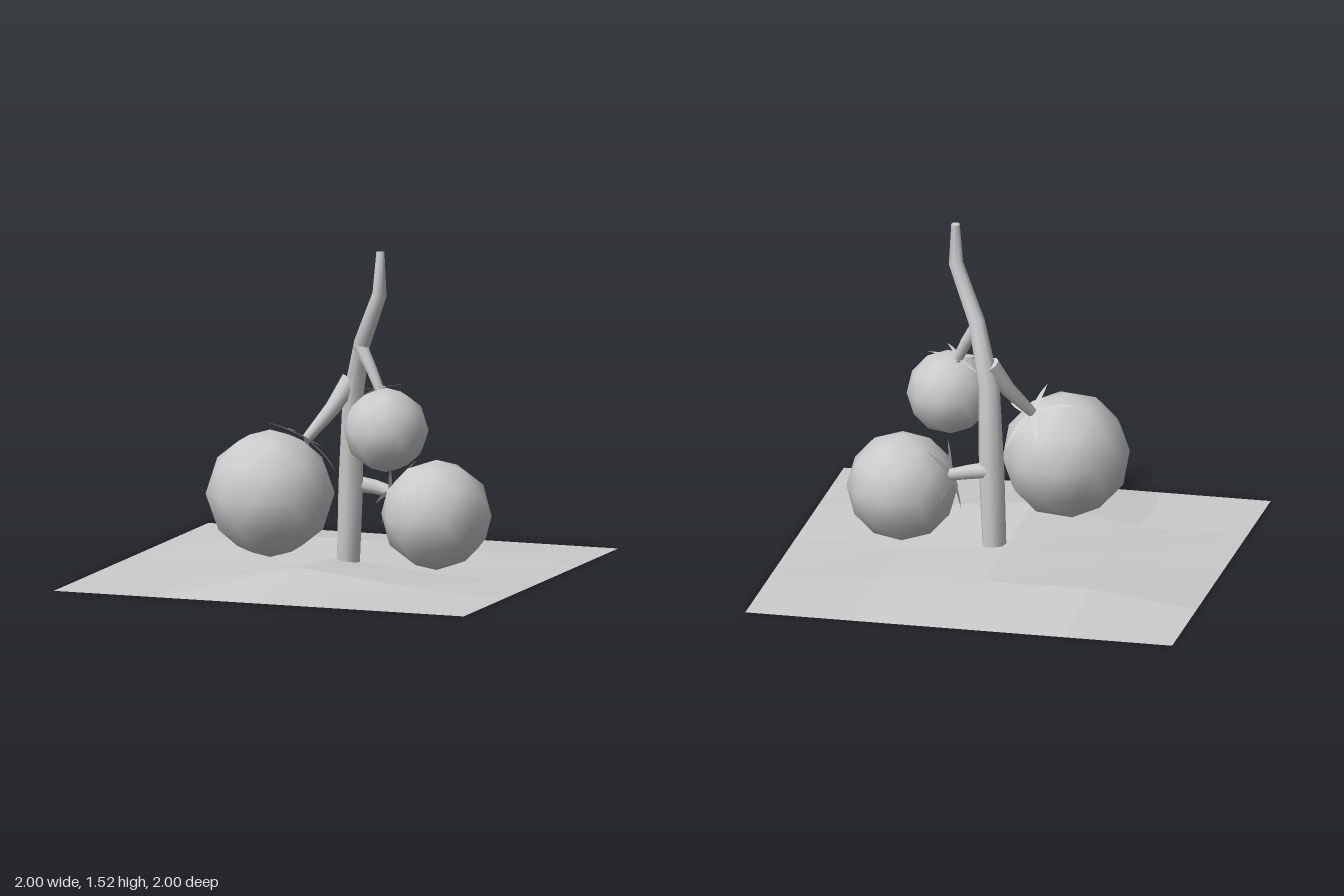
import * as THREE from 'three';

const V = (x, y, z) => new THREE.Vector3(x, y, z);
const grey = new THREE.MeshStandardMaterial({ color: 0xcccccc });
const greyThin = new THREE.MeshStandardMaterial({ color: 0xcccccc, side: THREE.DoubleSide });
const greyFlat = new THREE.MeshStandardMaterial({ color: 0xcccccc, side: THREE.DoubleSide, flatShading: true });

function named(name, geometry, material) {
  const mesh = new THREE.Mesh(geometry, material);
  mesh.name = name;
  return mesh;
}

// Skin a list of equally long rows of points.
function skin(rows, closed) {
  const n = rows[0].length, index = [];
  for (let i = 0; i < rows.length - 1; i++) {
    for (let j = 0; j < (closed ? n : n - 1); j++) {
      const k = (j + 1) % n;
      const a = i * n + j, b = i * n + k, c = a + n, d = b + n;
      index.push(a, c, b, b, c, d);
    }
  }
  const g = new THREE.BufferGeometry().setFromPoints(rows.flat());
  g.setIndex(index);
  g.computeVertexNormals();
  return g;
}

// Tapered, capped limb through knots [x, y, z, radius].
function limb(knots, sides = 8) {
  const pts = knots.map(k => V(k[0], k[1], k[2]));
  const last = pts.length - 1;
  const ring = (i, r) => {
    const t = pts[Math.min(i + 1, last)].clone().sub(pts[Math.max(i - 1, 0)]).normalize();
    const u = V(0, 0, 1).addScaledVector(t, -t.z).normalize();
    const w = t.clone().cross(u);
    return Array.from({ length: sides }, (_, j) => {
      const a = -j / sides * Math.PI * 2;
      return pts[i].clone().addScaledVector(u, Math.cos(a) * r).addScaledVector(w, Math.sin(a) * r);
    });
  };
  const rows = knots.map((k, i) => ring(i, k[3]));
  // Repeated end rings keep the cap edges sharp.
  return skin([ring(0, 0), ring(0, knots[0][3]), ...rows, ring(last, knots[last][3]), ring(last, 0)], true);
}

// Low-sided ball with a vertex at the pole and smooth normals.
function ball(radius, yaw) {
  const g = new THREE.IcosahedronGeometry(radius, 1);
  g.rotateX(-Math.atan2((1 + Math.sqrt(5)) / 2, 1));
  g.rotateY(yaw);
  return g;
}

// Five narrow sepals that spread from the stalk and lift at their tips.
function calyx(centre, radius, stalkEnd, firstTip) {
  const group = new THREE.Group();
  group.name = 'calyx';
  const axis = stalkEnd.clone().sub(centre).normalize();
  const e1 = firstTip.clone().sub(stalkEnd);
  e1.addScaledVector(axis, -e1.dot(axis)).normalize();
  const e2 = axis.clone().cross(e1);
  for (let i = 0; i < 5; i++) {
    const phi = i / 5 * Math.PI * 2;
    const out = e1.clone().multiplyScalar(Math.cos(phi)).addScaledVector(e2, Math.sin(phi));
    const side = axis.clone().cross(out);
    const reach = 0.68 - 0.05 * (i % 3), lift = 0.16 - 0.05 * (i % 2);
    const rows = [];
    for (let s = 0; s <= 6; s++) {
      const t = s / 6, a = reach * t;
      const d = radius * (1.02 + lift * t * t);
      const half = radius * 0.065 * (1 - t * t) * (0.7 + 0.6 * t);
      const p = centre.clone().addScaledVector(axis, Math.cos(a) * d).addScaledVector(out, Math.sin(a) * d)
        .addScaledVector(side, radius * 0.08 * t * t * (i % 2 ? 1 : -1));
      rows.push([-half, half].map(h => p.clone().addScaledVector(side, h)));
    }
    group.add(named('sepal', skin(rows, false), greyThin));
  }
  return group;
}

export function createModel() {
  const model = new THREE.Group();
  model.name = 'fruitingVine';

  // Faceted ground, raised at its nine inner points (rows from back to front)
  const heights = [[0.06, 0.055, 0.03], [0.03, 0.055, 0.01], [0.01, 0.09, 0.035]];
  const ground = new THREE.PlaneGeometry(2, 2, 4, 4).rotateX(-Math.PI / 2);
  heights.forEach((row, r) => row.forEach((h, c) => ground.attributes.position.setY((r + 1) * 5 + c + 1, h)));
  ground.computeVertexNormals();
  model.add(named('ground', ground, greyFlat));

  // Main stem
  model.add(named('stem', limb([
    [0.068, 0.045, 0.02, 0.056], [0.085, 0.4, 0.035, 0.06], [0.1, 0.8, 0.05, 0.05],
    [0.175, 1.08, 0.125, 0.04], [0.295, 1.325, 0.22, 0.035], [0.292, 1.52, 0.2, 0.02],
  ]), grey));

  // Fruits, each with its stalk and calyx
  const fruits = [
    { name: 'large', c: V(-0.195, 0.395, 0.335), r: 0.295, yaw: 0.4, tip: V(-0.26, 0.71, 0.19),
      stalk: [[0.1, 0.9, 0.07, 0.045], [0.03, 0.77, 0.12, 0.037], [-0.065, 0.635, 0.205, 0.024]] },
    { name: 'medium', c: V(0.505, 0.29, 0.04), r: 0.255, yaw: 0.2, tip: V(0.4, 0.48, -0.1),
      stalk: [[0.08, 0.41, 0.02, 0.04], [0.19, 0.395, 0.0, 0.034], [0.275, 0.375, 0.0, 0.028]] },
    { name: 'small', c: V(0.325, 0.7, 0.215), r: 0.195, yaw: 0.3, tip: V(0.31, 0.85, 0.01),
      stalk: [[0.165, 1.07, 0.13, 0.035], [0.23, 0.97, 0.155, 0.027], [0.28, 0.87, 0.17, 0.023]] },
  ];
  for (const f of fruits) {
    const group = new THREE.Group();
    group.name = f.name + 'Fruit';
    const body = named('fruitBody', ball(f.r, f.yaw), grey);
    body.position.copy(f.c);
    const end = f.stalk[f.stalk.length - 1];
    group.add(body, named('stalk', limb(f.stalk), grey), calyx(f.c, f.r, V(end[0], end[1], end[2]), f.tip));
    model.add(group);
  }
  return model;
}
